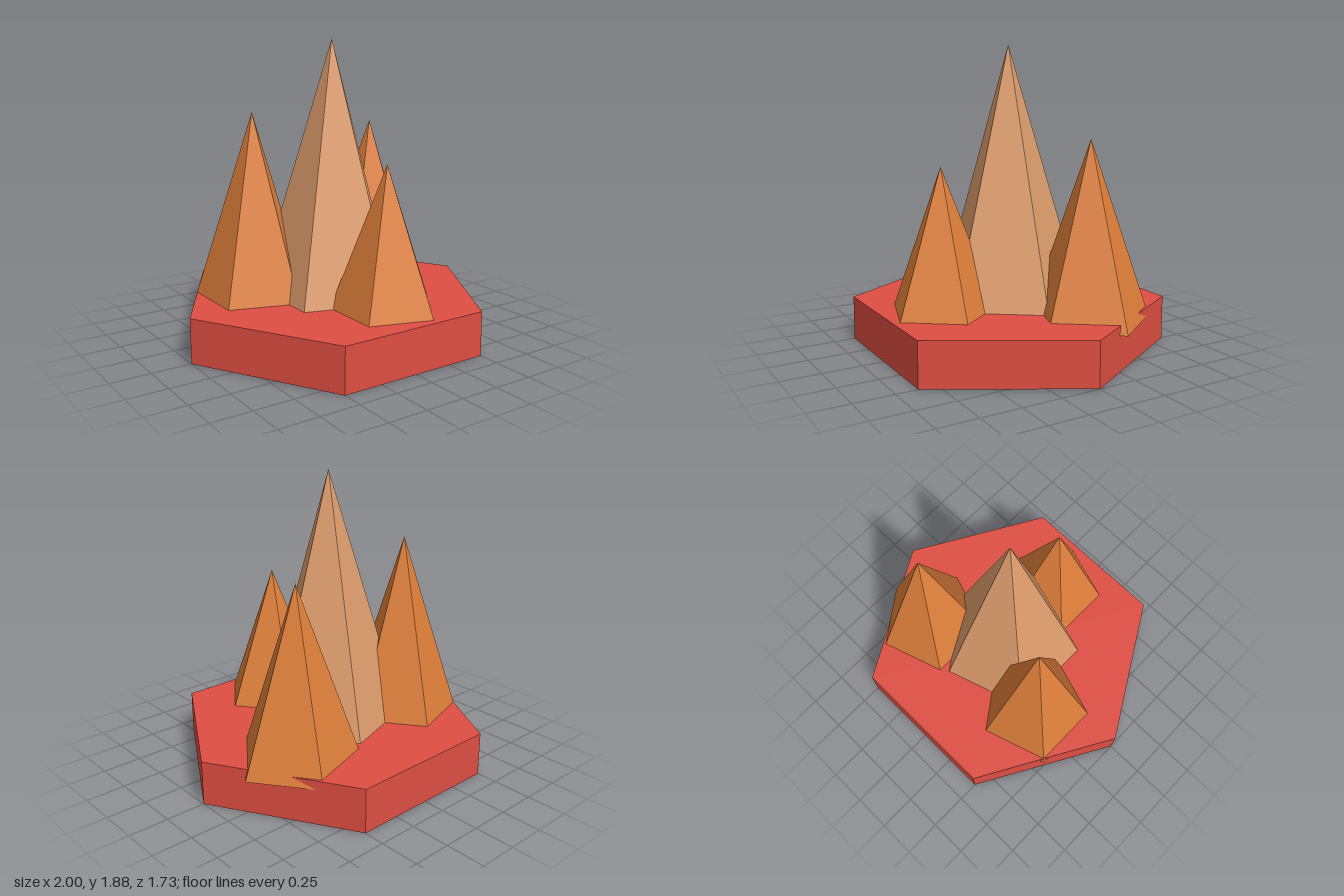
import * as THREE from 'three';

export function createModel() {
  const group = new THREE.Group();
  const flat = (name, color, extra = {}) => {
    const m = new THREE.MeshStandardMaterial({ color, flatShading: true, ...extra });
    m.name = name;
    return m;
  };
  const red = flat('red', 0xde4e42, { side: THREE.DoubleSide });
  const orange = flat('orange', 0xde7f3a);
  const tan = flat('tan', 0xde9d6c);

  const add = (name, geometry, material, x, y, z) => {
    const mesh = new THREE.Mesh(geometry, material);
    mesh.name = name;
    mesh.position.set(x, y, z);
    group.add(mesh);
  };

  // Hollow six-sided base, open underneath, with corners on the x axis
  const baseHeight = 0.28;
  add('baseWall', new THREE.CylinderGeometry(1, 1, baseHeight, 6, 1, true, Math.PI / 2),
    red, 0, baseHeight / 2, 0);
  add('baseTop', new THREE.CircleGeometry(1, 6).rotateX(-Math.PI / 2), red, 0, baseHeight, 0);

  // Five-sided spikes sunk slightly into the base, each with a corner towards +x
  const addSpike = (name, material, x, z, radius, bottom, apex) => {
    const height = apex - bottom;
    add(name, new THREE.ConeGeometry(radius, height, 5, 1, false, Math.PI / 2),
      material, x, bottom + height / 2, z);
  };
  addSpike('centreSpike', tan, 0, 0, 0.5, 0.22, 1.885);
  addSpike('backRightSpike', orange, -0.445, -0.222, 0.39, 0.223, 1.44);
  addSpike('backLeftSpike', orange, 0.5, -0.278, 0.39, 0.223, 1.33);
  addSpike('frontSpike', orange, 0.055, 0.5, 0.36, 0.223, 1.163);

  return group;
}
